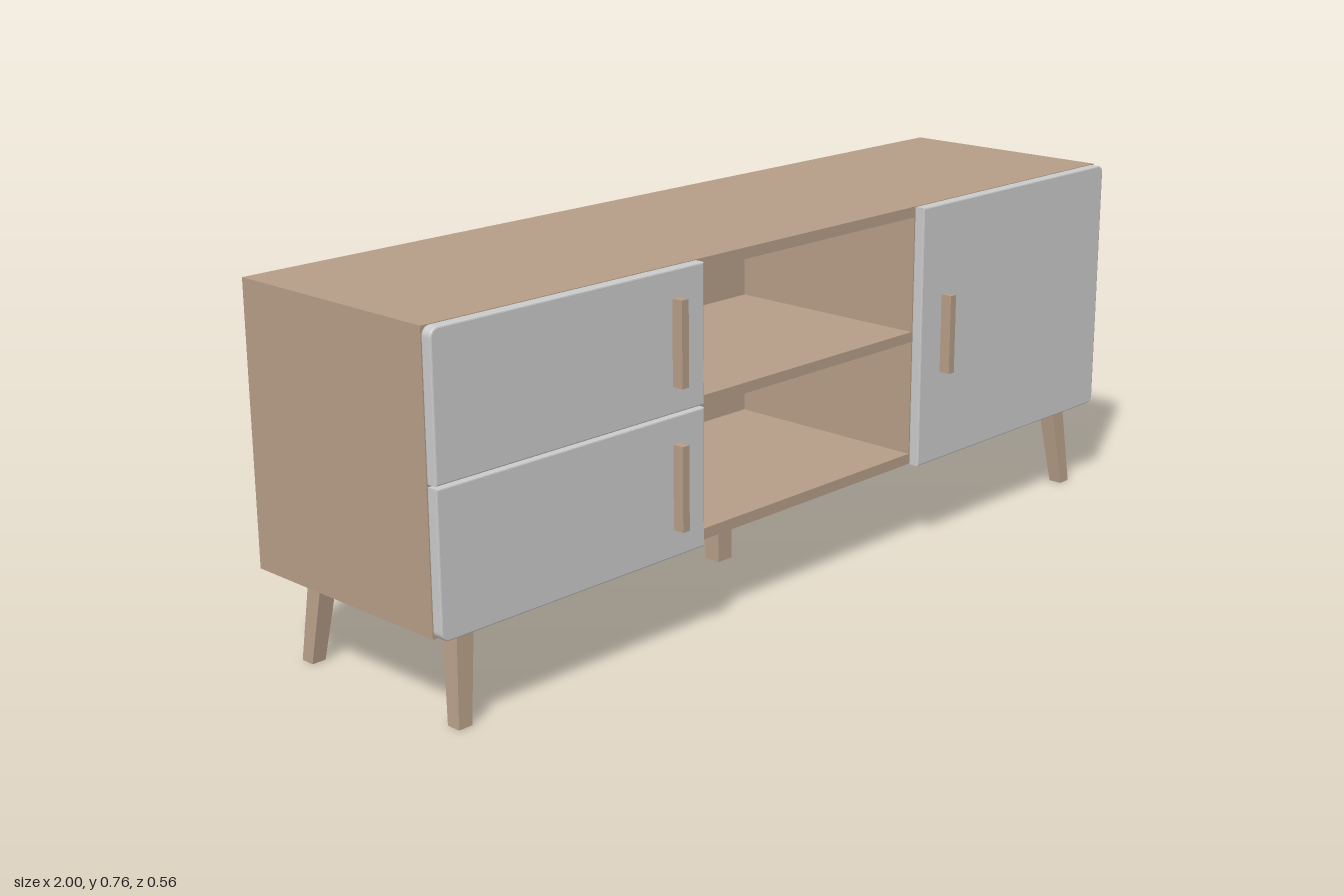
import * as THREE from 'three';

export function createModel() {
  const wood = new THREE.MeshStandardMaterial({ color: 0xb59d87 });
  wood.name = 'wood';
  const paint = new THREE.MeshStandardMaterial({ color: 0xcacaca });
  paint.name = 'greyPaint';

  const model = new THREE.Group();
  model.name = 'mediaCabinet';

  const add = (name, geometry, material) => {
    const mesh = new THREE.Mesh(geometry, material);
    mesh.name = name;
    model.add(mesh);
    return mesh;
  };
  // Box given by its minimum and maximum on each axis
  const box = (name, [x0, x1], [y0, y1], [z0, z1], material = wood) => {
    const g = new THREE.BoxGeometry(x1 - x0, y1 - y0, z1 - z0);
    g.translate((x0 + x1) / 2, (y0 + y1) / 2, (z0 + z1) / 2);
    return add(name, g, material);
  };

  // Carcass
  const bottom = 0.19, top = 0.76, board = 0.023, back = -0.28, front = 0.229;
  const low = bottom + board, high = top - board;
  box('topBoard', [-1, 1], [high, top], [back, front]);
  box('bottomBoard', [-1, 1], [bottom, low], [back, front]);
  for (const s of [-1, 1]) {
    const side = s < 0 ? 'right' : 'left';
    const span = (a, b) => [Math.min(s * a, s * b), Math.max(s * a, s * b)];
    box(side + 'SidePanel', span(1 - board, 1), [low, high], [back, front]);
    box(side + 'Divider', span(0.335, 0.358), [low, high], [-0.256, front]);
  }
  box('shelf', [-0.335, 0.335], [0.465, 0.487], [-0.256, front]);

  // Inset back panel with a cable hole
  const w = 1 - board;
  const panel = new THREE.Shape([
    new THREE.Vector2(-w, low), new THREE.Vector2(w, low),
    new THREE.Vector2(w, high), new THREE.Vector2(-w, high),
  ]);
  panel.holes.push(new THREE.Path().absarc(0, 0.62, 0.046, 0, Math.PI * 2, true));
  const backGeo = new THREE.ExtrudeGeometry(panel, { depth: 0.014, bevelEnabled: false, curveSegments: 24 });
  backGeo.translate(0, 0, back + 0.01);
  add('backPanel', backGeo, wood);

  // Fronts with softened edges; corner radii run bl, br, tr, tl
  const frontPanel = (name, [x0, x1], [y0, y1], [bl, br, tr, tl]) => {
    const e = 0.003, s = new THREE.Shape();
    const a = x0 + e, b = x1 - e, c = y0 + e, d = y1 - e;
    s.moveTo(a + bl, c);
    s.lineTo(b - br, c);
    if (br) s.absarc(b - br, c + br, br, -Math.PI / 2, 0, false);
    s.lineTo(b, d - tr);
    if (tr) s.absarc(b - tr, d - tr, tr, 0, Math.PI / 2, false);
    s.lineTo(a + tl, d);
    if (tl) s.absarc(a + tl, d - tl, tl, Math.PI / 2, Math.PI, false);
    s.lineTo(a, c + bl);
    if (bl) s.absarc(a + bl, c + bl, bl, Math.PI, Math.PI * 1.5, false);
    const g = new THREE.ExtrudeGeometry(s, {
      depth: 0.019, bevelThickness: e, bevelSize: e, bevelSegments: 2, curveSegments: 6,
    });
    g.translate(0, 0, 0.23 + e);
    add(name, g, paint);
  };
  const r = 0.015;
  frontPanel('upperDrawerFront', [-1, -0.335], [0.479, top], [0, 0, 0, r]);
  frontPanel('lowerDrawerFront', [-1, -0.335], [bottom, 0.474], [r, 0, 0, 0]);
  frontPanel('doorFront', [0.335, 1], [bottom, top], [0, r, r, 0]);

  // Bar handles
  box('upperDrawerHandle', [-0.421, -0.403], [0.533, 0.705], [0.254, 0.28]);
  box('lowerDrawerHandle', [-0.421, -0.403], [0.246, 0.419], [0.254, 0.28]);
  box('doorHandle', [0.403, 0.421], [0.389, 0.562], [0.254, 0.28]);

  // Splayed, tapered corner legs
  for (const sx of [-1, 1]) {
    for (const sz of [-1, 1]) {
      const g = new THREE.BoxGeometry(1, bottom, 1);
      const p = g.attributes.position;
      for (let i = 0; i < p.count; i++) {
        const foot = p.getY(i) < 0;
        const size = foot ? 0.031 : 0.04;
        p.setX(i, p.getX(i) * size + sx * (foot ? 0.935 : 0.915));
        p.setZ(i, p.getZ(i) * size + sz * (foot ? 0.216 : 0.196));
      }
      g.translate(0, bottom / 2, 0);
      g.computeVertexNormals();
      add((sz > 0 ? 'front' : 'back') + (sx > 0 ? 'Left' : 'Right') + 'Leg', g, wood);
    }
  }
  box('middleLeg', [-0.02, 0.02], [0, bottom], [-0.044, -0.004]);

  return model;
}
